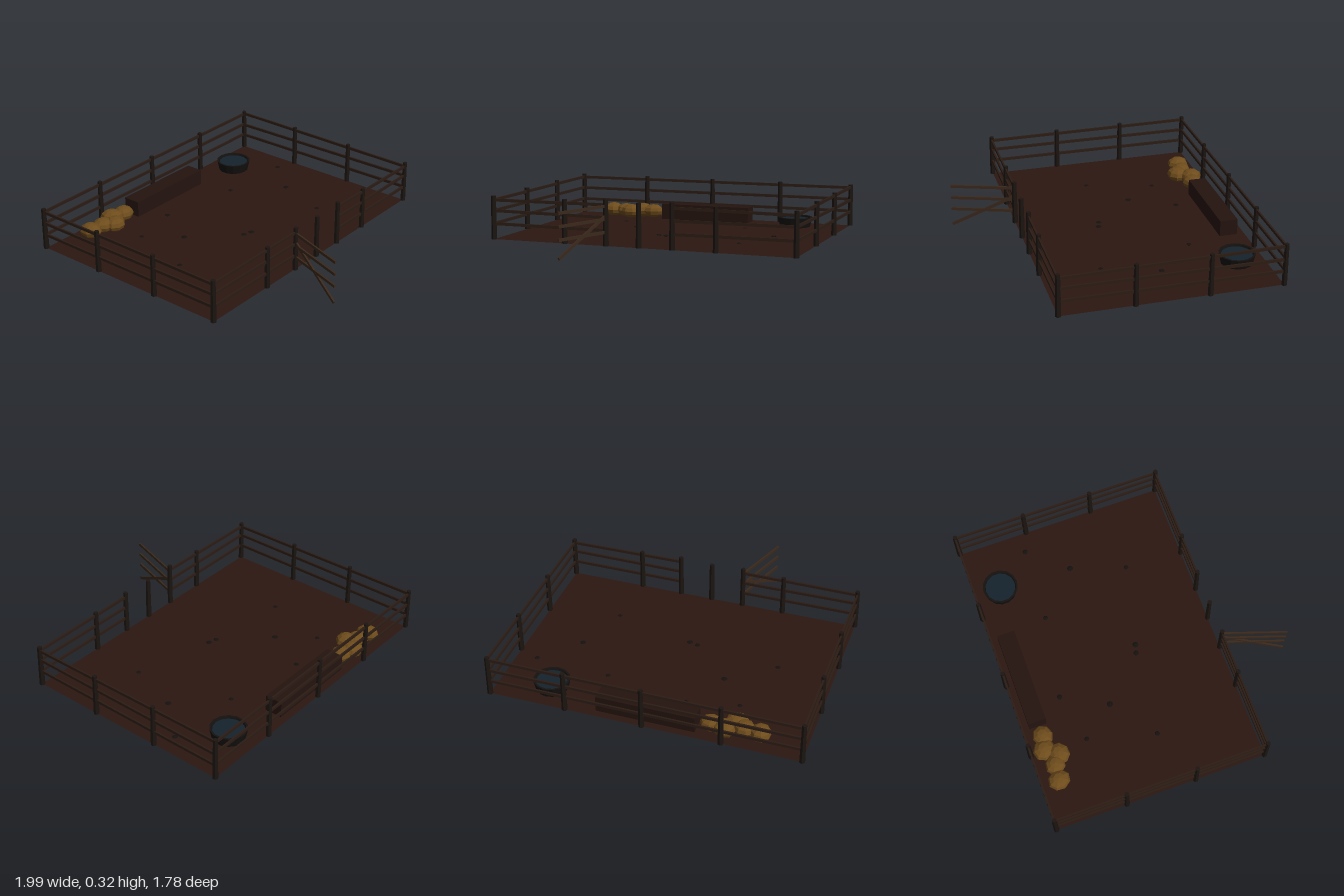
import * as THREE from 'three';

const mat = (color, extra = {}) => new THREE.MeshStandardMaterial({ color, flatShading: true, ...extra });

export function createModel() {
  const model = new THREE.Group();
  const postWood = mat(0x1c1511), railWood = mat(0x2b1c14), gateWood = mat(0x3a281b);
  const troughWood = mat(0x24130f), straw = mat(0x6e4c1c), dark = mat(0x15110f);
  const GROUND = 0.035, W = 0.98, BACK = -0.875, FRONT = 0.5;

  const add = (name, geometry, material, x = 0, y = 0, z = 0, parent = model) => {
    const mesh = new THREE.Mesh(geometry, material);
    mesh.name = name;
    mesh.position.set(x, y, z);
    parent.add(mesh);
    return mesh;
  };

  // Rectangular beam running between two points
  const beam = (name, a, b, material, parent) => {
    const from = new THREE.Vector3(...a), to = new THREE.Vector3(...b);
    const mesh = add(name, new THREE.BoxGeometry(0.011, 0.018, from.distanceTo(to)), material, 0, 0, 0, parent);
    mesh.position.copy(from).add(to).multiplyScalar(0.5);
    mesh.lookAt(to);
    return mesh;
  };

  // Earth floor
  const floor = new THREE.PlaneGeometry(2 * W, FRONT - BACK).rotateX(-Math.PI / 2);
  add('ground', floor, mat(0x2c1711, { side: THREE.DoubleSide }), 0, GROUND, (FRONT + BACK) / 2);

  // Fence posts
  const fence = new THREE.Group();
  fence.name = 'fence';
  model.add(fence);
  const post = (x, z, h = 0.275) =>
    add('fencePost', new THREE.CylinderGeometry(0.015, 0.018, h, 6), postWood, x, GROUND + h / 2, z, fence);
  for (const x of [-W, -0.49, 0, 0.49, W]) {
    post(x, BACK);
    post(x, FRONT);
  }
  for (const x of [-W, W]) for (const z of [-0.415, 0.04]) post(x, z);
  for (const x of [-0.215, 0.215]) post(x, FRONT, 0.288);

  // Fence rails, slightly uneven; the front leaves a gateway
  const rails = [[0.134, 0.128], [0.216, 0.206], [0.283, 0.294]];
  for (const [y0, y1] of rails) {
    const mid = (y0 + y1) / 2;
    beam('backRail', [-W - 0.012, mid - 0.002, BACK], [W + 0.012, mid + 0.002, BACK], railWood, fence);
    for (const s of [-1, 1]) {
      const end = s > 0 ? y1 : mid;
      beam('sideRail', [s * W, y0, FRONT + 0.012], [s * W, end, BACK - 0.012], railWood, fence);
      beam('frontRail', [s * (W + 0.012), y0, FRONT], [s * 0.21, mid, FRONT], railWood, fence);
    }
  }

  // Open gate with a brace
  const gate = new THREE.Group();
  gate.name = 'gate';
  model.add(gate);
  for (const y of [0.12, 0.2, 0.28])
    beam('gateRail', [-0.215, y, FRONT], [-0.348, y, 0.888], gateWood, gate);
  beam('gateBrace', [-0.215, 0.222, FRONT], [-0.348, 0.009, 0.886], gateWood, gate);

  // Feeding trough
  add('trough', new THREE.BoxGeometry(0.625, 0.105, 0.115), troughWood, -0.003, GROUND + 0.0525, -0.77);

  // Water tub: a tapered wall with a thick rim and an inner base of water
  const wall = [[0, 0], [0.1, 0], [0.115, 0.065], [0.102, 0.065], [0.095, 0.045]]
    .map(([r, y]) => new THREE.Vector2(r, y));
  add('tub', new THREE.LatheGeometry(wall, 14), mat(0x14110f, { side: THREE.DoubleSide }), 0.645, GROUND, -0.7);
  add('water', new THREE.CircleGeometry(0.1, 14).rotateX(-Math.PI / 2), mat(0x14222c), 0.645, GROUND + 0.053, -0.7);

  // Heap of straw bundles
  const bundles = [
    [-0.7, -0.76, 0.066, 0.3], [-0.6, -0.75, 0.064, 1.1], [-0.54, -0.705, 0.066, 2.0],
    [-0.485, -0.785, 0.068, 0.7], [-0.4, -0.765, 0.064, 1.6],
  ];
  for (const [x, z, r, turn] of bundles) {
    const bundle = add('strawBundle', new THREE.SphereGeometry(r, 8, 6), straw, x, GROUND + 0.047, z);
    bundle.scale.set(1, 0.72, 1.1);
    bundle.rotation.y = turn;
  }

  // Flat clods scattered over the floor
  const clods = [
    [-0.5, -0.51], [-0.18, -0.58], [-0.335, -0.295], [-0.62, -0.08], [-0.07, -0.02],
    [-0.015, -0.005], [0.36, -0.49], [0.85, -0.465], [0.635, -0.225], [0.515, 0.125],
  ];
  clods.forEach(([x, z], i) => {
    const clod = add('clod', new THREE.SphereGeometry(0.016 + (i % 3) * 0.002, 7, 4), dark, x, GROUND + 0.001, z);
    clod.scale.y = 0.3;
    clod.rotation.y = i;
  });

  return model;
}
